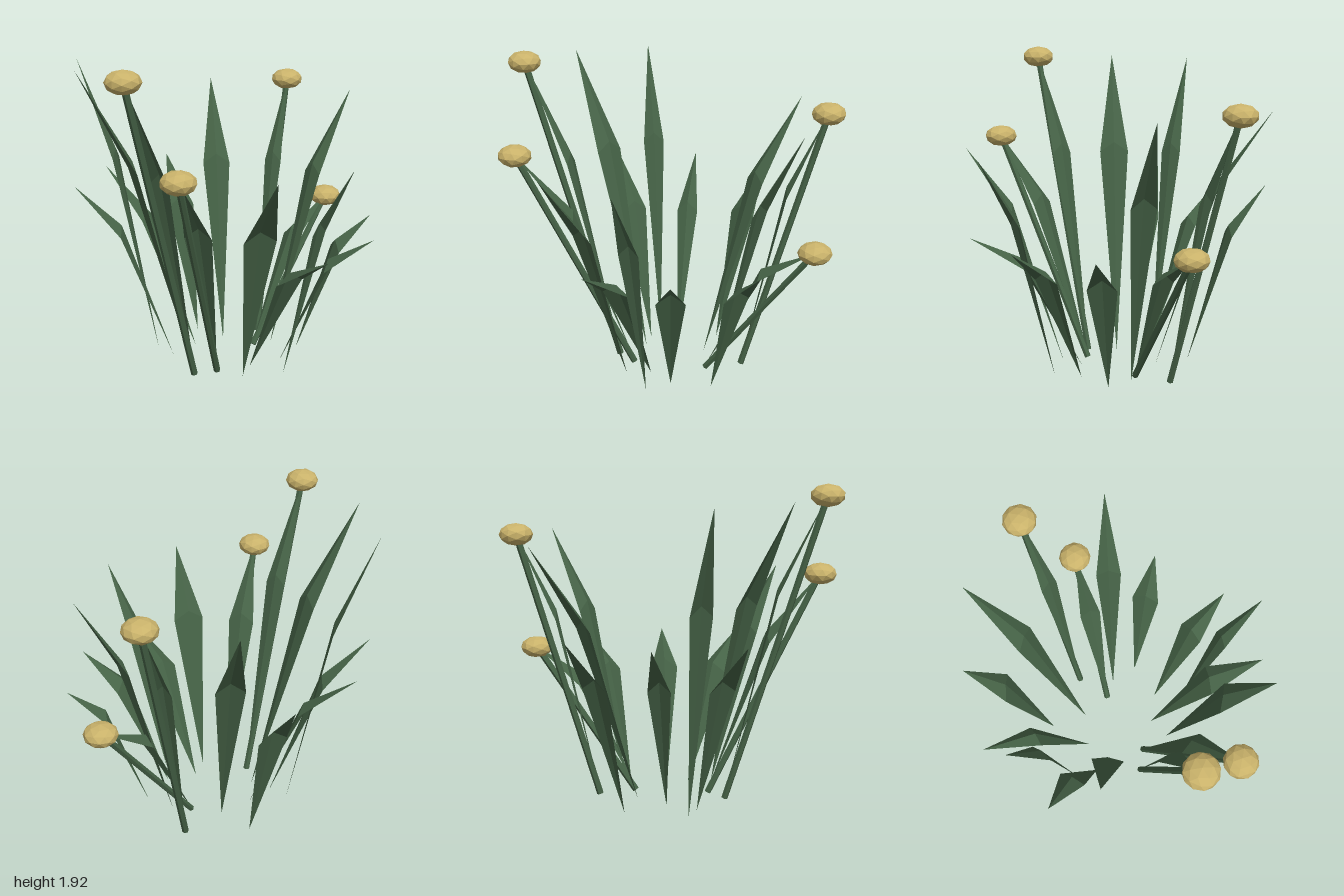
import * as THREE from 'three';

const leafMaterial = new THREE.MeshStandardMaterial({ color: 0x456246, flatShading: true, side: THREE.DoubleSide });
const stemMaterial = new THREE.MeshStandardMaterial({ color: 0x456246, flatShading: true });
const flowerMaterial = new THREE.MeshStandardMaterial({ color: 0xc9b26a, flatShading: true });

// Each leaf: base x, base z, tip x, tip z, tip height, width
const LEAVES = [
  [-0.07, -0.24, -0.24, -0.89, 1.11, 0.13],
  [-0.26, -0.38, -0.53, -0.76, 1.84, 0.13],
  [-0.26, -0.24, -0.68, -0.63, 1.11, 0.16],
  [-0.23, -0.11, -0.84, -0.36, 1.85, 0.18],
  [0.12, -0.43, 0.26, -0.88, 1.11, 0.18],
  [0.13, -0.20, 0.54, -0.74, 1.60, 0.17],
  [0.31, 0.05, 0.87, 0.18, 1.60, 0.15],
  [0.36, 0.22, 0.75, 0.47, 0.87, 0.17],
  [0.13, 0.29, 0.37, 0.80, 0.87, 0.17],
  [0.03, 0.42, 0.07, 0.88, 1.35, 0.12],
  [-0.04, 0.21, -0.12, 0.88, 0.87, 0.19],
  [-0.17, 0.28, -0.43, 0.79, 1.35, 0.19],
];

// Leaves that carry a stem and a flower at the tip
const FLOWERING = [
  [0.40, -0.16, 0.84, -0.33, 1.61, 0.11],
  [0.22, -0.02, 0.89, -0.02, 0.87, 0.13],
  [-0.21, 0.10, -0.80, 0.44, 1.36, 0.16],
  [-0.34, 0.04, -0.90, 0.14, 1.85, 0.13],
];

// Pointed blade folded along its raised midrib, bending outward above the widest point
function makeLeaf([bx, bz, tx, tz, h, width]) {
  const base = new THREE.Vector3(bx, 0.02, bz);
  const tip = new THREE.Vector3(tx, h, tz);
  const rib = base.clone().lerp(tip, 0.52).setY(0.2 + 0.6 * h);
  const side = new THREE.Vector3(-(tz - bz), 0, tx - bx).setLength(width / 2);
  const left = rib.clone().add(side);
  const right = rib.clone().sub(side);
  left.y = right.y = rib.y - 0.06;
  const geometry = new THREE.BufferGeometry().setFromPoints([
    base, left, rib, base, rib, right,
    left, tip, rib, rib, tip, right,
  ]);
  geometry.computeVertexNormals();
  const leaf = new THREE.Mesh(geometry, leafMaterial);
  leaf.name = 'leaf';
  return leaf;
}

// Straight six-sided stem between two points
function makeStem(from, to) {
  const axis = to.clone().sub(from);
  const stem = new THREE.Mesh(new THREE.CylinderGeometry(0.02, 0.02, axis.length(), 6), stemMaterial);
  stem.position.copy(from).lerp(to, 0.5);
  stem.quaternion.setFromUnitVectors(new THREE.Vector3(0, 1, 0), axis.normalize());
  stem.name = 'stem';
  return stem;
}

// Flattened faceted flower head
function makeFlower(position, turn) {
  const flower = new THREE.Mesh(new THREE.IcosahedronGeometry(0.1, 1), flowerMaterial);
  flower.scale.y = 0.66;
  flower.rotation.y = turn;
  flower.position.copy(position);
  flower.name = 'flowerHead';
  return flower;
}

export function createModel() {
  const plant = new THREE.Group();
  plant.name = 'floweringPlant';
  for (const spec of LEAVES) plant.add(makeLeaf(spec));

  FLOWERING.forEach((spec, i) => {
    const [bx, bz, tx, tz, h] = spec;
    const top = new THREE.Vector3(tx, h, tz);
    const shoot = new THREE.Group();
    shoot.name = 'floweringShoot';
    shoot.add(
      makeLeaf(spec),
      makeStem(new THREE.Vector3(bx, 0.01, bz), top),
      makeFlower(top, i * 0.8),
    );
    plant.add(shoot);
  });
  return plant;
}
